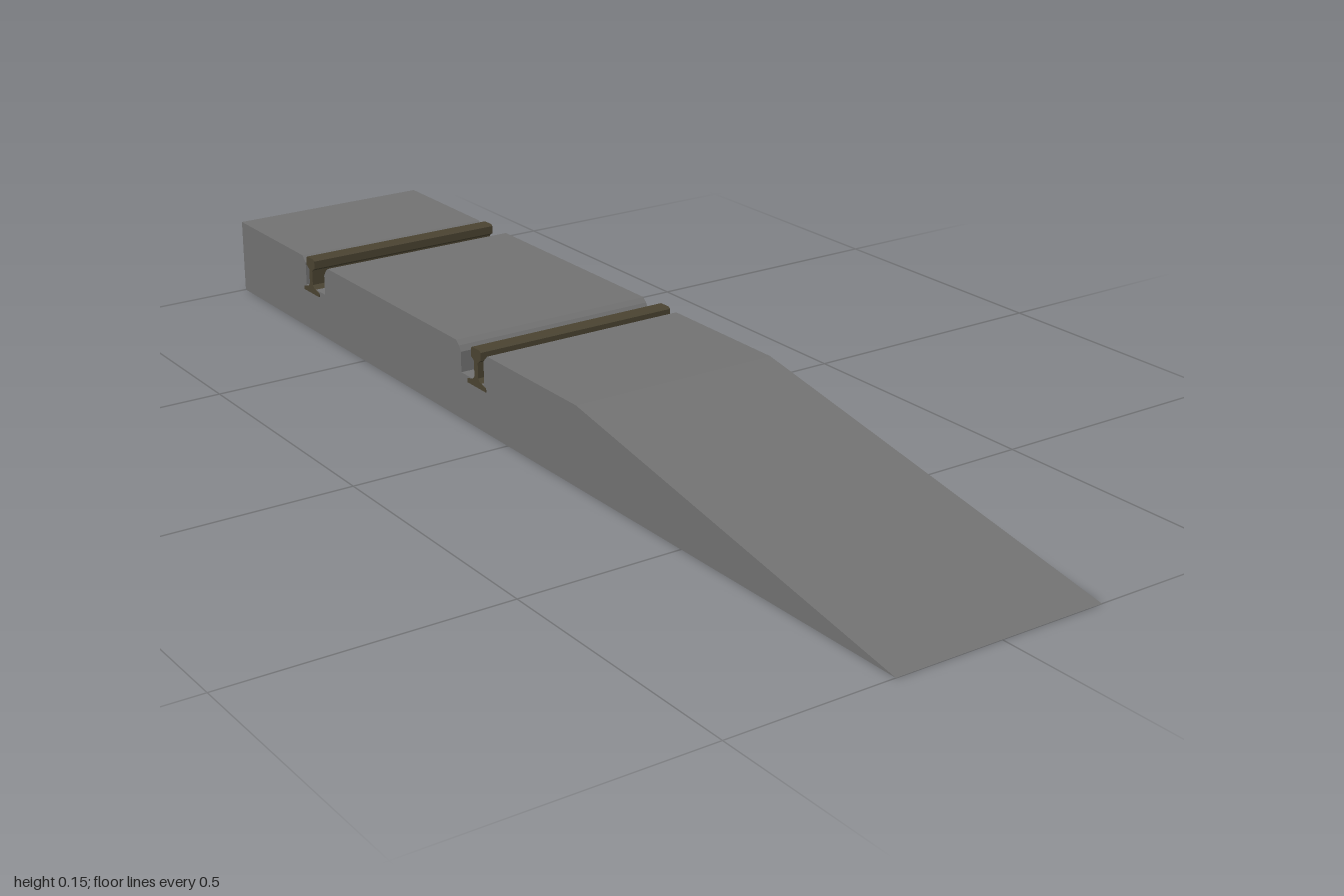
import * as THREE from 'three';

// Extrudes a (z, y) profile across the model from x0 to x1
function extrudeAcross(points, x0, x1, material, name) {
  const shape = new THREE.Shape(points.map(([z, y]) => new THREE.Vector2(-z, y)));
  const geometry = new THREE.ExtrudeGeometry(shape, { depth: x1 - x0, bevelEnabled: false });
  geometry.rotateY(Math.PI / 2); // profile x becomes -z, depth becomes +x
  geometry.translate(x0, 0, 0);
  const mesh = new THREE.Mesh(geometry, material);
  mesh.name = name;
  return mesh;
}

export function createModel() {
  const model = new THREE.Group();
  model.name = 'levelCrossing';
  const asphalt = new THREE.MeshStandardMaterial({ color: 0x727272 });
  asphalt.name = 'asphalt grey';
  const steel = new THREE.MeshStandardMaterial({ color: 0x4a4331 });
  steel.name = 'rusty steel';

  const top = 0.144, floor = 0.088, trackCentre = -0.4;

  // Flangeway groove, as distance from the track centre, outer edge first
  const groove = [
    [0.338, top], [0.326, 0.132], [0.326, floor],
    [0.251, floor], [0.251, 0.126], [0.245, 0.136], [0.236, top],
  ];
  const nearGroove = groove.map(([d, y]) => [trackCentre + d, y]);
  const farGroove = groove.map(([d, y]) => [trackCentre - d, y]).reverse();

  // Road slab with approach ramp and two grooves
  model.add(extrudeAcross(
    [[1, 0], [0.21, top], ...nearGroove, ...farGroove, [-1, top], [-1, 0]],
    -0.2, 0.2, asphalt, 'roadSlab'));

  // Rail section: head, web and foot, mirrored about its own middle
  const half = [
    [0.012, 0.148], [0.016, 0.145], [0.016, 0.130], [0.006, 0.124],
    [0.006, 0.095], [0.012, 0.089], [0.030, 0.084], [0.030, 0.077],
  ];
  const section = [...half, ...half.map(([z, y]) => [-z, y]).reverse()];
  for (const side of [1, -1]) {
    const z0 = trackCentre + side * 0.303;
    model.add(extrudeAcross(section.map(([z, y]) => [z0 + z, y]),
      -0.2015, 0.2005, steel, side > 0 ? 'frontRail' : 'backRail'));
  }
  return model;
}
